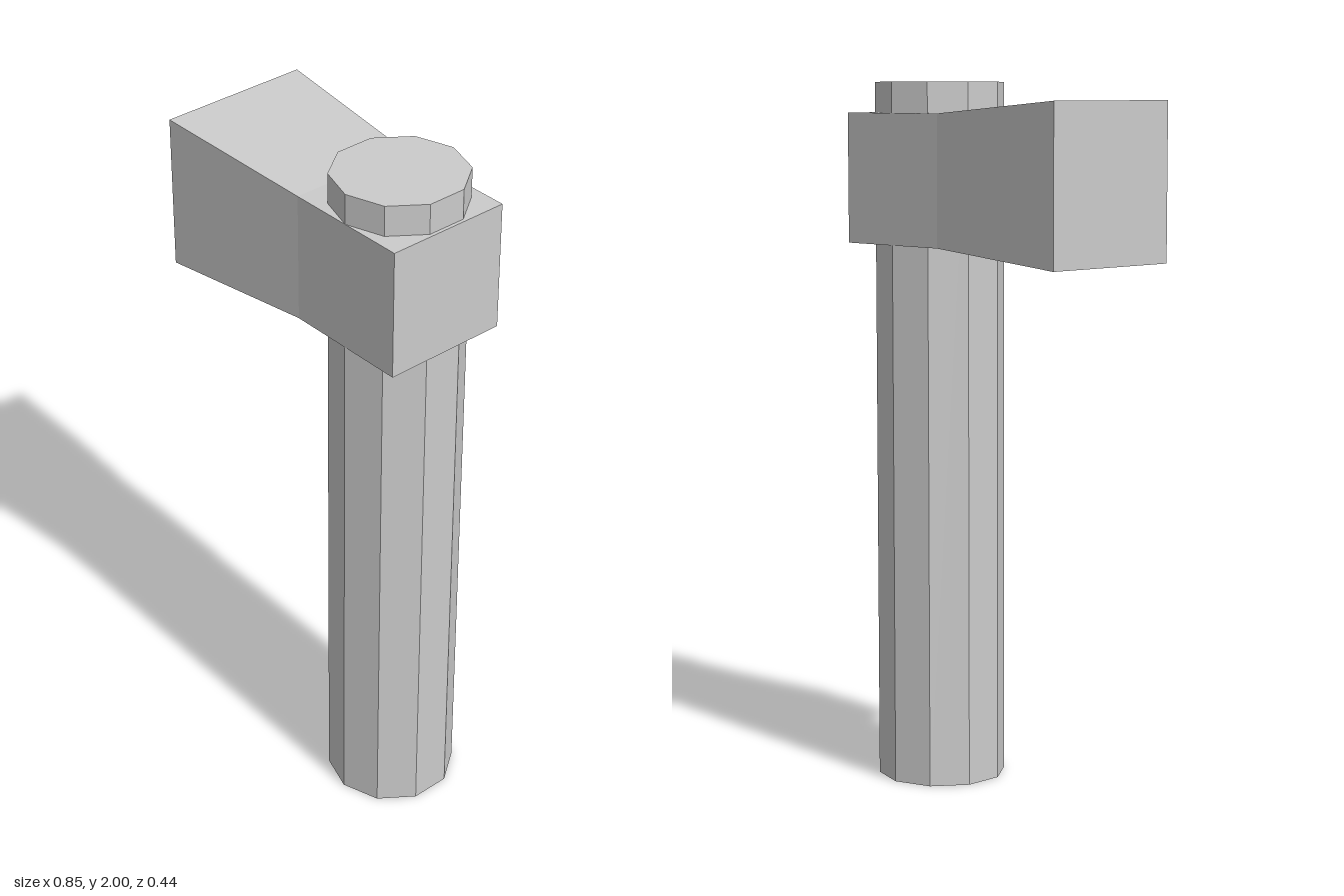
import * as THREE from 'three';

export function createModel() {
  const group = new THREE.Group();
  const material = new THREE.MeshStandardMaterial({ color: 0xcccccc, flatShading: true });
  const radius = 0.184, handleX = 0.24;

  // Ten-sided handle, with a corner facing front and back
  const handle = new THREE.Mesh(new THREE.CylinderGeometry(radius, radius, 2, 10), material);
  handle.name = 'handle';
  handle.position.set(handleX, 1, 0);
  group.add(handle);

  // Hammer head: a square block around the handle that flares towards -x
  const headGeometry = new THREE.BoxGeometry(2, radius * 2, radius * 2, 2, 1, 1);
  const p = headGeometry.attributes.position;
  for (let i = 0; i < p.count; i++) {
    const section = Math.round(p.getX(i)) + 1; // 0 = flared end, 1 = neck, 2 = square end
    const scale = section === 0 ? 1.2 : 1;
    p.setXYZ(i, [-0.426, 0.056, 0.425][section], p.getY(i) * scale, p.getZ(i) * scale);
  }
  headGeometry.computeVertexNormals();
  const head = new THREE.Mesh(headGeometry, material);
  head.name = 'head';
  head.position.y = 1.73;
  group.add(head);

  return group;
}
